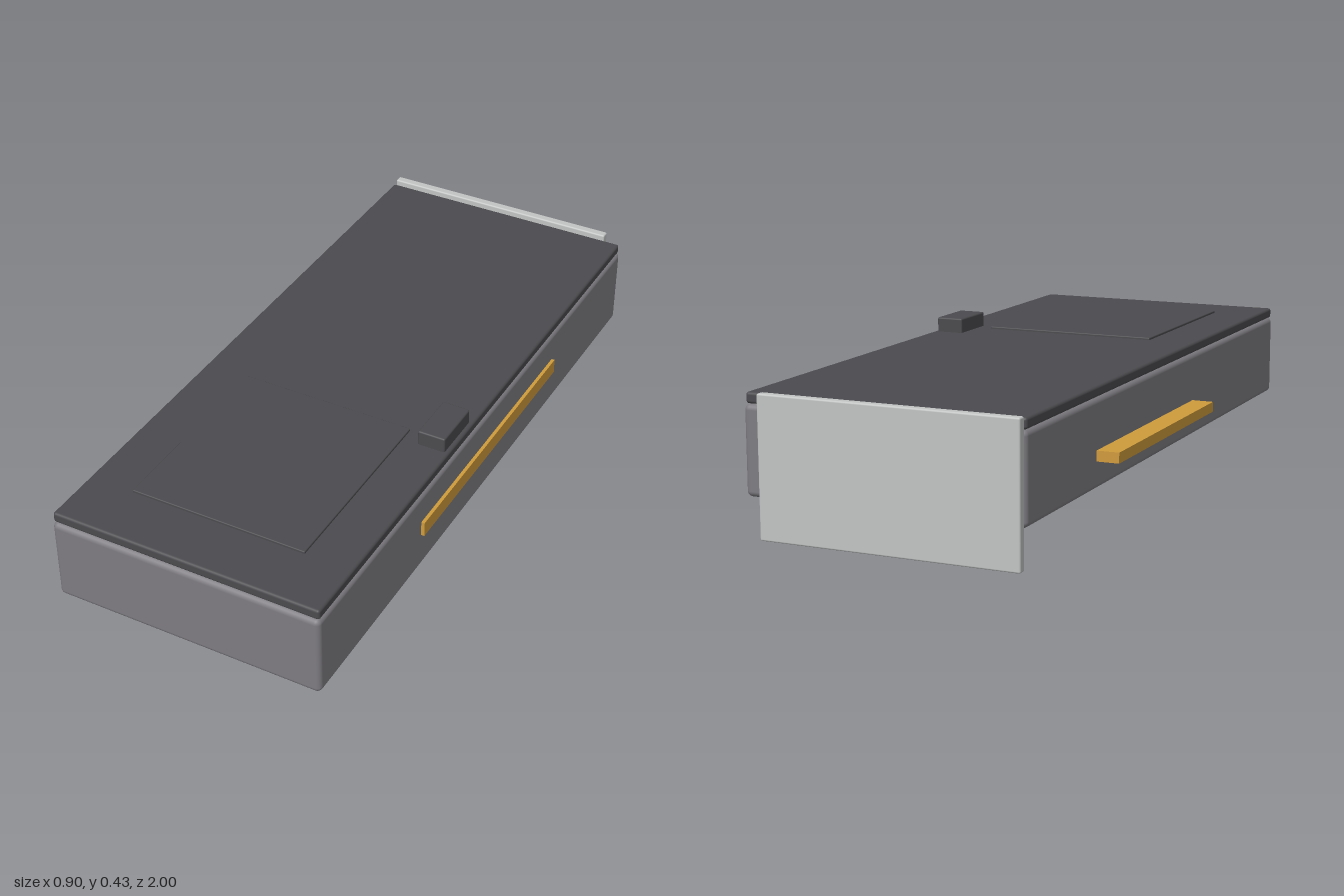
import * as THREE from 'three';
import { RoundedBoxGeometry } from 'three/addons/geometries/RoundedBoxGeometry.js';

const material = (name, color) => {
  const m = new THREE.MeshStandardMaterial({ color });
  m.name = name;
  return m;
};

export function createModel() {
  const shroudGrey = material('shroud grey', 0x7e7c81);
  const plateDark = material('dark plate', 0x4b4a4e);
  const silver = material('silver', 0xc2c4c4);
  const gold = material('gold', 0xcf9b3c);
  const bladeBlack = material('blade black', 0x343437);
  const hubSilver = material('hub silver', 0xd0d0d2);

  const model = new THREE.Group();
  model.name = 'graphicsCard';

  // Box given by its limits on each axis, with optional rounded edges
  const addBox = (name, mat, [x0, x1], [y0, y1], [z0, z1], radius = 0) => {
    const size = [x1 - x0, y1 - y0, z1 - z0];
    const geometry = radius
      ? new RoundedBoxGeometry(...size, 3, radius)
      : new THREE.BoxGeometry(...size);
    const mesh = new THREE.Mesh(geometry, mat);
    mesh.name = name;
    mesh.position.set((x0 + x1) / 2, (y0 + y1) / 2, (z0 + z1) / 2);
    model.add(mesh);
  };

  // Body, backplate and the parts on top
  addBox('shroud', shroudGrey, [-0.385, 0.428], [0.105, 0.355], [-0.968, 1], 0.016);
  addBox('backplate', plateDark, [-0.383, 0.425], [0.355, 0.386], [-0.96, 0.993], 0.008);
  addBox('backplatePanel', plateDark, [-0.245, 0.285], [0.38, 0.393], [0.225, 0.82], 0.003);
  addBox('powerSocket', plateDark, [0.33, 0.413], [0.38, 0.43], [0.112, 0.27], 0.005);

  // Rear bracket, edge connector and side strip
  addBox('bracket', silver, [-0.383, 0.367], [0, 0.393], [-1, -0.973], 0.005);
  addBox('edgeConnector', gold, [-0.45, -0.36], [0.183, 0.213], [-0.52, 0.227]);
  addBox('sideStrip', gold, [0.436, 0.446], [0.234, 0.279], [-0.42, 0.45]);

  // Fan frame: square with a round opening and four corner cut-outs
  const half = 0.26, thickness = 0.033;
  const frameShape = new THREE.Shape([
    new THREE.Vector2(-half, -half), new THREE.Vector2(half, -half),
    new THREE.Vector2(half, half), new THREE.Vector2(-half, half),
  ]);
  frameShape.holes.push(new THREE.Path().absarc(0, 0, 0.232, 0, Math.PI * 2, true));
  for (const sx of [-1, 1]) for (const sy of [-1, 1]) {
    frameShape.holes.push(new THREE.Path([
      new THREE.Vector2(sx * 0.238, sy * 0.238),
      new THREE.Vector2(sx * 0.238, sy * 0.18),
      new THREE.Vector2(sx * 0.18, sy * 0.238),
    ]));
  }
  const frameGeometry = new THREE.ExtrudeGeometry(frameShape, {
    depth: thickness, bevelEnabled: false, curveSegments: 24,
  });
  frameGeometry.rotateX(Math.PI / 2).translate(0, thickness / 2, 0);

  const hubGeometry = new THREE.CylinderGeometry(0.078, 0.078, 0.03, 32);
  const bladeGeometry = new THREE.BoxGeometry(0.155, 0.005, 0.052);
  bladeGeometry.rotateX(0.52).translate(0.145, 0, 0);

  // Three fans in a row under the shroud
  const bladeCount = 11;
  for (const z of [0.58, 0.016, -0.55]) {
    const fan = new THREE.Group();
    fan.name = 'fan';
    fan.position.set(0.045, 0.0615, z);
    const add = (name, geometry, mat) => {
      const mesh = new THREE.Mesh(geometry, mat);
      mesh.name = name;
      fan.add(mesh);
      return mesh;
    };
    add('fanFrame', frameGeometry, shroudGrey);
    add('fanHub', hubGeometry, hubSilver);
    for (let i = 0; i < bladeCount; i++) {
      add('fanBlade', bladeGeometry, bladeBlack).rotation.y = (i / bladeCount) * Math.PI * 2;
    }
    model.add(fan);
  }
  return model;
}
